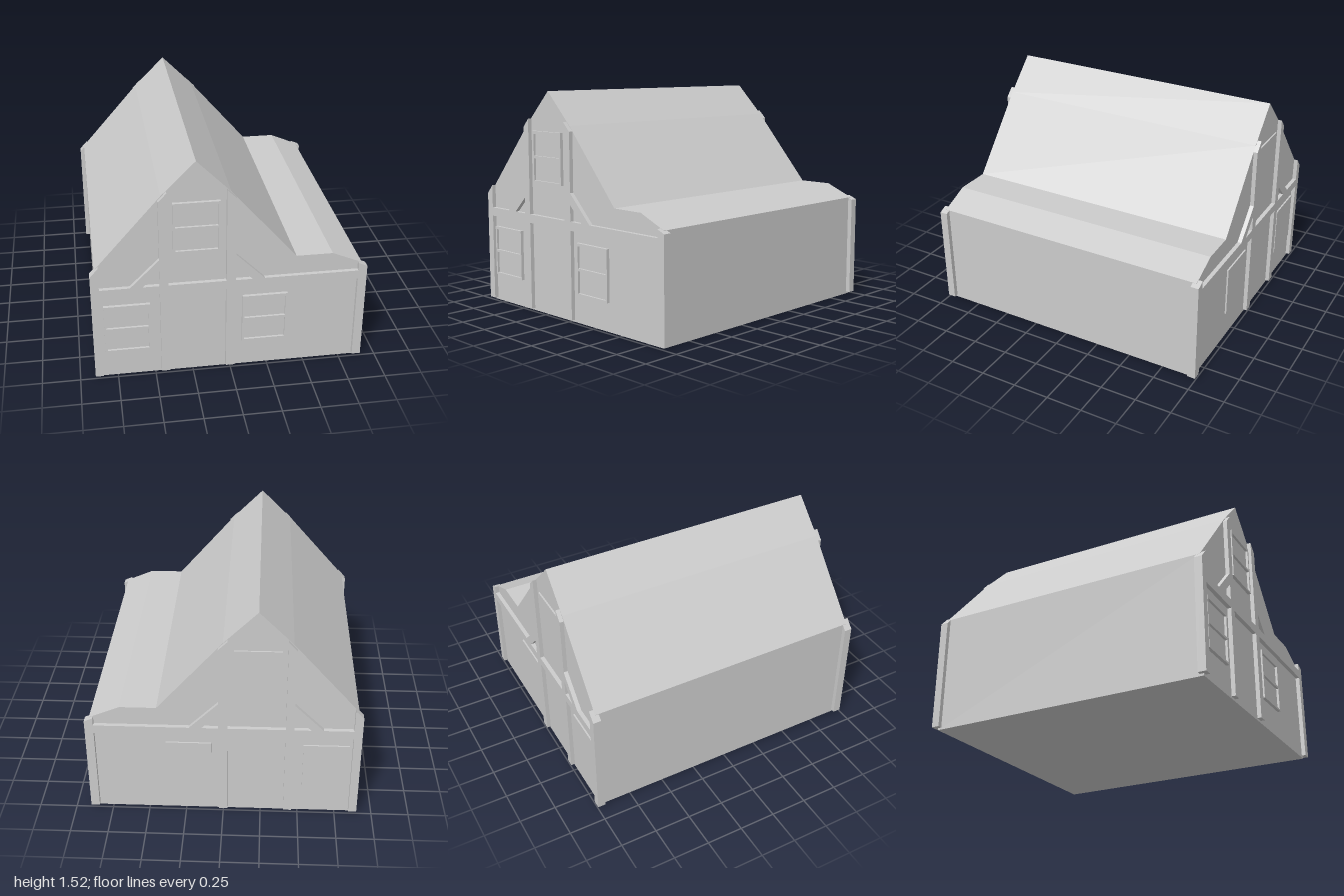
import * as THREE from 'three';

const material = new THREE.MeshStandardMaterial({ color: 0xcccccc, flatShading: true });

const toPath = (points, Type = THREE.Path) => new Type(points.map(([x, y]) => new THREE.Vector2(x, y)));
const rect = (x0, y0, x1, y1) => [[x0, y0], [x1, y0], [x1, y1], [x0, y1]];

// Extrudes an outline (with optional holes) between two z positions
function slab(name, outline, z0, z1, holes = []) {
  const shape = toPath(outline, THREE.Shape);
  shape.holes = holes.map((h) => toPath(h));
  const geometry = new THREE.ExtrudeGeometry(shape, { depth: z1 - z0, bevelEnabled: false });
  geometry.translate(0, 0, z0);
  const mesh = new THREE.Mesh(geometry, material);
  mesh.name = name;
  return mesh;
}

// Sash window: frame with two openings and recessed panes
function sashWindow(name, x, y) {
  const w = 0.3, h = 0.35, m = 0.014;
  const group = new THREE.Group();
  group.name = name;
  group.add(
    slab('windowFrame', rect(x, y, x + w, y + h), 0.96, 0.994, [
      rect(x + m, y + m, x + w - m, y + 0.165),
      rect(x + m, y + 0.182, x + w - m, y + h - 0.02),
    ]),
    slab('windowPanes', rect(x + m / 2, y + m / 2, x + w - m / 2, y + h - m / 2), 0.96, 0.978),
  );
  return group;
}

export function createModel() {
  const house = new THREE.Group();
  house.name = 'house';

  // Walls and roof share one gable profile with a low lean-to side
  house.add(slab('wallsAndRoof', [
    [-0.87, 0], [0.87, 0], [0.87, 0.725], [0.67, 0.81], [0.43, 0.81],
    [0, 1.305], [-0.22, 1.525], [-0.44, 1.305], [-0.87, 0.815],
  ], -0.972, 0.972));

  // Timber frame: two posts, a cross beam and diagonal braces
  const timber = [
    [-0.845, 0.62], [-0.46, 0.62], [-0.46, 0.015], [-0.405, 0.015], [-0.405, 0.62],
    [-0.03, 0.62], [-0.03, 0.015], [0.03, 0.015], [0.03, 0.62], [0.845, 0.62],
    [0.845, 0.68], [0.22, 0.68], [0.03, 0.87], [0.03, 1.27], [-0.03, 1.33],
    [-0.03, 0.68], [-0.405, 0.68], [-0.405, 1.335], [-0.46, 1.275], [-0.46, 0.87],
    [-0.65, 0.68], [-0.845, 0.68],
  ];
  const braceGaps = [
    [[-0.57, 0.68], [-0.46, 0.68], [-0.46, 0.79]],
    [[0.03, 0.68], [0.14, 0.68], [0.03, 0.79]],
  ];
  const leftPost = [[0.842, 0.015], [0.9, 0.015], [0.9, 0.71], [0.842, 0.735]];
  const rightPost = [[-0.9, 0.015], [-0.845, 0.015], [-0.845, 0.84], [-0.9, 0.78]];

  for (const [end, side] of [['front', 1], ['back', -1]]) {
    const span = (a, b) => (side > 0 ? [a, b] : [-b, -a]);
    house.add(
      slab(end + 'TimberFrame', timber, ...span(0.96, 1), braceGaps),
      slab(end + 'LeftCornerPost', leftPost, ...span(0.945, 1)),
      slab(end + 'RightCornerPost', rightPost, ...span(0.945, 1)),
    );
  }

  // Sash windows in front, plain shutters at the same places behind
  const openings = [['right', -0.825, 0.195], ['left', 0.078, 0.195], ['attic', -0.37, 0.905]];
  for (const [place, x, y] of openings) {
    house.add(sashWindow(place + 'Window', x, y));
    house.add(slab(place + 'BackShutter', rect(x, y, x + 0.3, y + 0.35), -0.983, -0.96));
  }
  return house;
}
